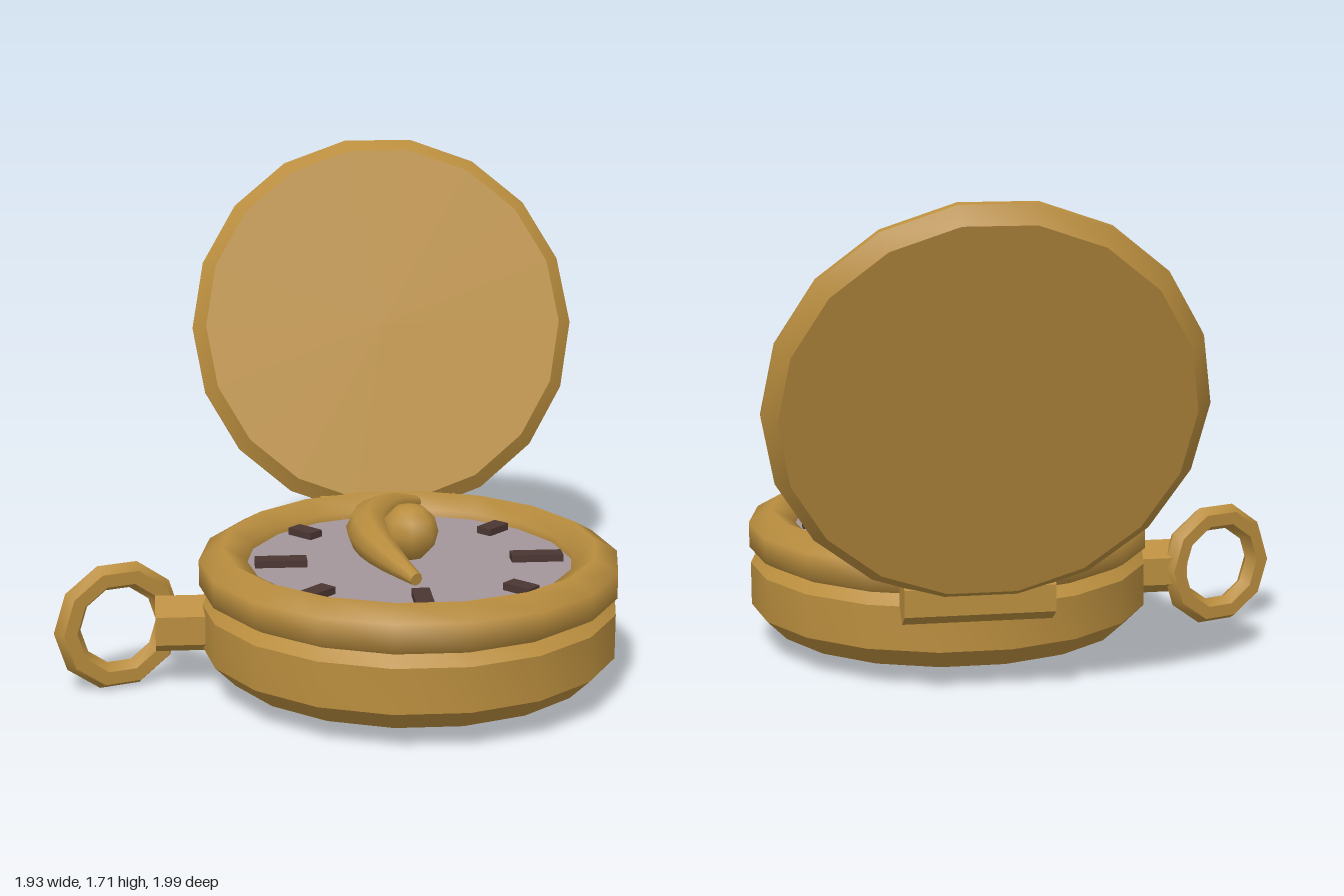
import * as THREE from 'three';
import { toCreasedNormals } from 'three/addons/utils/BufferGeometryUtils.js';

const material = (name, color) => {
  const m = new THREE.MeshStandardMaterial({ color });
  m.name = name;
  return m;
};

export function createModel() {
  const gold = material('gold', 0xb98d3e);
  const dialGrey = material('dial grey', 0xa3969a);
  const darkBrown = material('dark brown', 0x4a3632);

  const model = new THREE.Group();
  model.name = 'pocketCompass';
  // Everything round is centred on the case axis
  const caseGroup = new THREE.Group();
  caseGroup.name = 'case';
  caseGroup.position.set(0.24, 0, 0.285);
  model.add(caseGroup);

  const add = (parent, name, geometry, mat, x = 0, y = 0, z = 0) => {
    const mesh = new THREE.Mesh(geometry, mat);
    mesh.name = name;
    mesh.position.set(x, y, z);
    parent.add(mesh);
    return mesh;
  };
  const lathe = (points) => new THREE.LatheGeometry(
    points.map(([r, y]) => new THREE.Vector2(r, y)), 18, Math.PI / 2);
  // Bevelled disc, symmetric about y = 0
  const disc = (r, half, bevel) => toCreasedNormals(lathe([
    [0, -half], [r - bevel, -half], [r, bevel - half],
    [r, half - bevel], [r - bevel, half], [0, half]]), 0.6);
  // Six-sided bar lying along x with an edge on top
  const hexBar = (r, length) => toCreasedNormals(
    new THREE.CylinderGeometry(r, r, length, 6).rotateY(Math.PI / 2).rotateZ(Math.PI / 2), 0.6);

  // Lower case and rounded rim
  add(caseGroup, 'body', disc(0.716, 0.15, 0.073), gold, 0, 0.22, 0);
  const rimProfile = [];
  for (let i = 0; i <= 6; i++) {
    const a = -Math.PI / 2 + i * Math.PI / 3;
    rimProfile.push([0.64 + 0.092 * Math.cos(a), 0.09 * Math.sin(a)]);
  }
  add(caseGroup, 'rim', lathe(rimProfile), gold, 0, 0.4, 0);

  // Dial with eight markers, the north one in gold
  add(caseGroup, 'dial', new THREE.CylinderGeometry(0.575, 0.575, 0.06, 18, 1, false, Math.PI / 2),
    dialGrey, 0, 0.39, 0);
  for (let i = 0; i < 8; i++) {
    const a = i * Math.PI / 4;
    const major = i % 2 === 0;
    const r = major ? 0.44 : 0.475;
    const mark = add(caseGroup, 'marker', new THREE.BoxGeometry(major ? 0.178 : 0.105, 0.04, 0.06),
      i === 2 ? gold : darkBrown, r * Math.cos(a), 0.425, -r * Math.sin(a));
    mark.rotation.y = a;
  }

  // Centre knob
  add(caseGroup, 'knob', new THREE.SphereGeometry(0.1, 8, 6), gold, 0, 0.53, 0);

  // Curved needle: a tube swelling in the middle, closed at both tips
  const path = new THREE.CatmullRomCurve3([
    [0.075, 0.497, -0.47], [-0.03, 0.525, -0.325], [-0.11, 0.537, -0.15], [-0.145, 0.54, 0],
    [-0.13, 0.537, 0.17], [-0.085, 0.527, 0.33], [-0.025, 0.508, 0.455],
  ].map((p) => new THREE.Vector3(...p)));
  const steps = 14, sides = 8;
  const needle = new THREE.TubeGeometry(path, steps, 1, sides, false);
  const pos = needle.attributes.position;
  const v = new THREE.Vector3();
  for (let i = 0; i <= steps; i++) {
    const t = THREE.MathUtils.clamp((i - 1) / (steps - 2), 0, 1);
    const radius = i === 0 || i === steps ? 0 : 0.022 + 0.05 * Math.sin(Math.PI * t);
    const from = path.getPointAt(i / steps);
    const to = path.getPointAt(t);
    for (let j = 0; j <= sides; j++) {
      const k = i * (sides + 1) + j;
      v.fromBufferAttribute(pos, k).sub(from).multiplyScalar(radius).add(to);
      pos.setXYZ(k, v.x, v.y, v.z);
    }
  }
  add(caseGroup, 'needle', toCreasedNormals(needle, 1.0), gold);

  // Hinge and open lid
  add(model, 'hinge', hexBar(0.092, 0.505), gold, 0.24, 0.352, -0.466);
  const lid = add(model, 'lid', disc(0.716, 0.06, 0.05), gold, 0.24, 1.035, -0.732);
  lid.rotation.x = Math.PI / 2 - 0.314;

  // Side stem and carrying ring
  add(model, 'stem', hexBar(0.1, 0.25), gold, -0.505, 0.22, 0.283);
  const ring = add(model, 'ring', toCreasedNormals(new THREE.TorusGeometry(0.183, 0.047, 6, 10), 0.7),
    gold, -0.757, 0.22, 0.285);
  ring.rotation.y = 0.35;

  return model;
}
